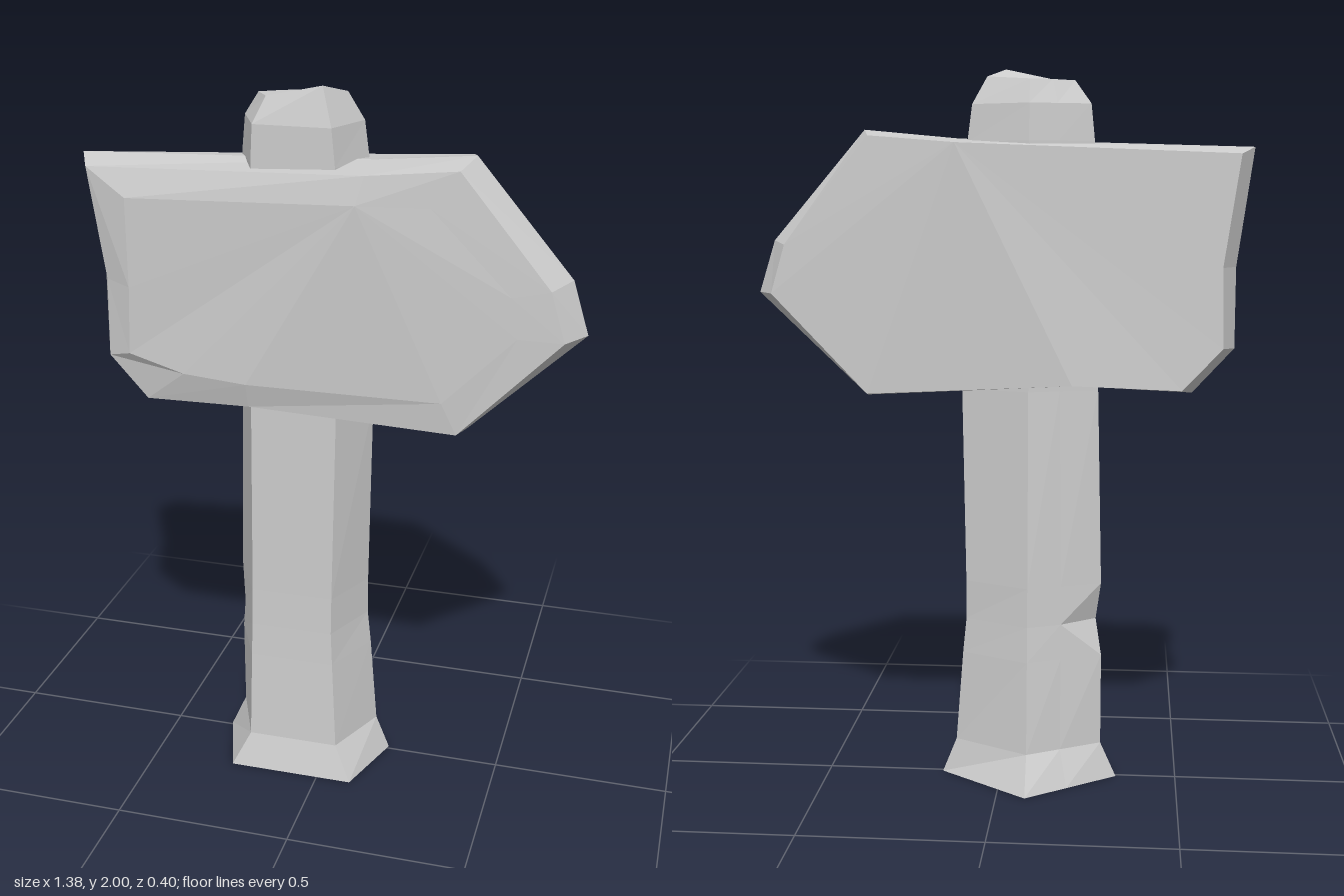
import * as THREE from 'three';

// Flat-faced solid from rings of [x, y, z], counter-clockwise seen from the last ring.
// caps: polygons of ring indices closing both ends; flip(row, col) swaps a quad's diagonal.
function loft(name, rings, caps, flip = () => false) {
  const pos = [];
  const tri = (a, b, c) => pos.push(...a, ...b, ...c);
  const n = rings[0].length;
  for (let r = 0; r < rings.length - 1; r++) {
    for (let i = 0; i < n; i++) {
      const j = (i + 1) % n;
      const [a, b, c, d] = [rings[r][i], rings[r][j], rings[r + 1][j], rings[r + 1][i]];
      if (flip(r, i)) { tri(a, b, d); tri(b, c, d); }
      else { tri(a, b, c); tri(a, c, d); }
    }
  }
  const first = rings[0], last = rings[rings.length - 1];
  for (const p of caps) {
    for (let k = 1; k < p.length - 1; k++) {
      tri(first[p[0]], first[p[k + 1]], first[p[k]]);
      tri(last[p[0]], last[p[k]], last[p[k + 1]]);
    }
  }
  const geo = new THREE.BufferGeometry();
  geo.setAttribute('position', new THREE.Float32BufferAttribute(pos, 3));
  geo.computeVertexNormals();
  const mesh = new THREE.Mesh(geo, new THREE.MeshStandardMaterial({ color: 0xcccccc, flatShading: true }));
  mesh.name = name;
  return mesh;
}

// Five-sided post: flat front, pointed back, with a spare point on the back-right face for the chip
function postRing(y, left, right, frontL, frontR, zFront, zBack) {
  const back = [-0.08, y, zBack], side = [left, y, -0.01];
  const mid = back.map((v, k) => v + (side[k] - v) * 0.45);
  return [[frontL, y, zFront], [frontR, y, zFront], [right, y, -0.01], back, mid, side];
}

function createPost() {
  const rings = [
    [0, -0.33, 0.17, -0.26, 0.1, 0.2, -0.2],
    [0.1, -0.285, 0.13, -0.21, 0.05, 0.17, -0.13],
    [0.36, -0.285, 0.11, -0.207, 0.035, 0.152, -0.11],
    [0.46, -0.284, 0.1, -0.205, 0.03, 0.147, -0.102],
    [0.57, -0.283, 0.1, -0.203, 0.031, 0.144, -0.099],
    [1.12, -0.27, 0.11, -0.2, 0.04, 0.13, -0.08],
    [1.8, -0.255, 0.093, -0.19, 0.035, 0.12, -0.072],
    [1.9, -0.245, 0.08, -0.185, 0.025, 0.118, -0.066],
  ].map((r) => postRing(...r));
  // chip in the corner edge
  rings[3][5] = [-0.268, 0.46, 0.02];
  // slanted, chamfered top
  rings.push([[-0.155, 1.968, 0.09], [-0.005, 2, 0.09], [0.04, 1.975, 0.01],
    [-0.08, 1.965, -0.04], [-0.14, 1.965, -0.015], [-0.2, 1.963, 0.01]]);
  return loft('post', rings, [[0, 1, 2, 3, 4, 5]], (row, col) => row === 2 && col === 4);
}

// Arrow-shaped board: back rim, widest outline, front rim, raised front panel
function createBoard() {
  const outline = [[-0.69, 1.785], [-0.645, 1.46], [-0.645, 1.235], [-0.53, 1.11], [-0.2, 1.125],
    [0.385, 1.095], [0.69, 1.385], [0.645, 1.53], [0.385, 1.835], [0.12, 1.81]];
  const rim = [[-0.65, 1.765], [-0.605, 1.46], [-0.61, 1.24], [-0.5, 1.125], [-0.2, 1.14],
    [0.37, 1.11], [0.64, 1.385], [0.6, 1.52], [0.36, 1.815], [0.12, 1.795]];
  const backZ = [-0.045, -0.048, -0.048, -0.06, -0.095, -0.068, -0.045, -0.047, -0.068, -0.1];
  const frontZ = [0.12, 0.122, 0.122, 0.13, 0.155, 0.135, 0.12, 0.122, 0.135, 0.16];
  const panel = [[-0.53, 1.695, 0.155], [-0.53, 1.45, 0.155], [-0.54, 1.26, 0.15], [-0.38, 1.22, 0.163],
    [-0.2, 1.21, 0.174], [0.33, 1.2, 0.146], [0.52, 1.39, 0.131], [0.5, 1.5, 0.133],
    [0.29, 1.72, 0.148], [0.1, 1.72, 0.174]];
  const rings = [
    rim.map(([x, y], i) => [x, y, backZ[i]]),
    outline.map(([x, y]) => [x, y, 0.037]),
    rim.map(([x, y], i) => [x, y, frontZ[i]]),
    panel,
  ];
  // both faces fold along the slanted ridge from point 9 to point 4
  return loft('signBoard', rings, [[9, 0, 1, 2, 3, 4], [9, 4, 5, 6, 7, 8]]);
}

export function createModel() {
  const model = new THREE.Group();
  model.name = 'arrowSignpost';
  model.add(createPost(), createBoard());
  return model;
}
